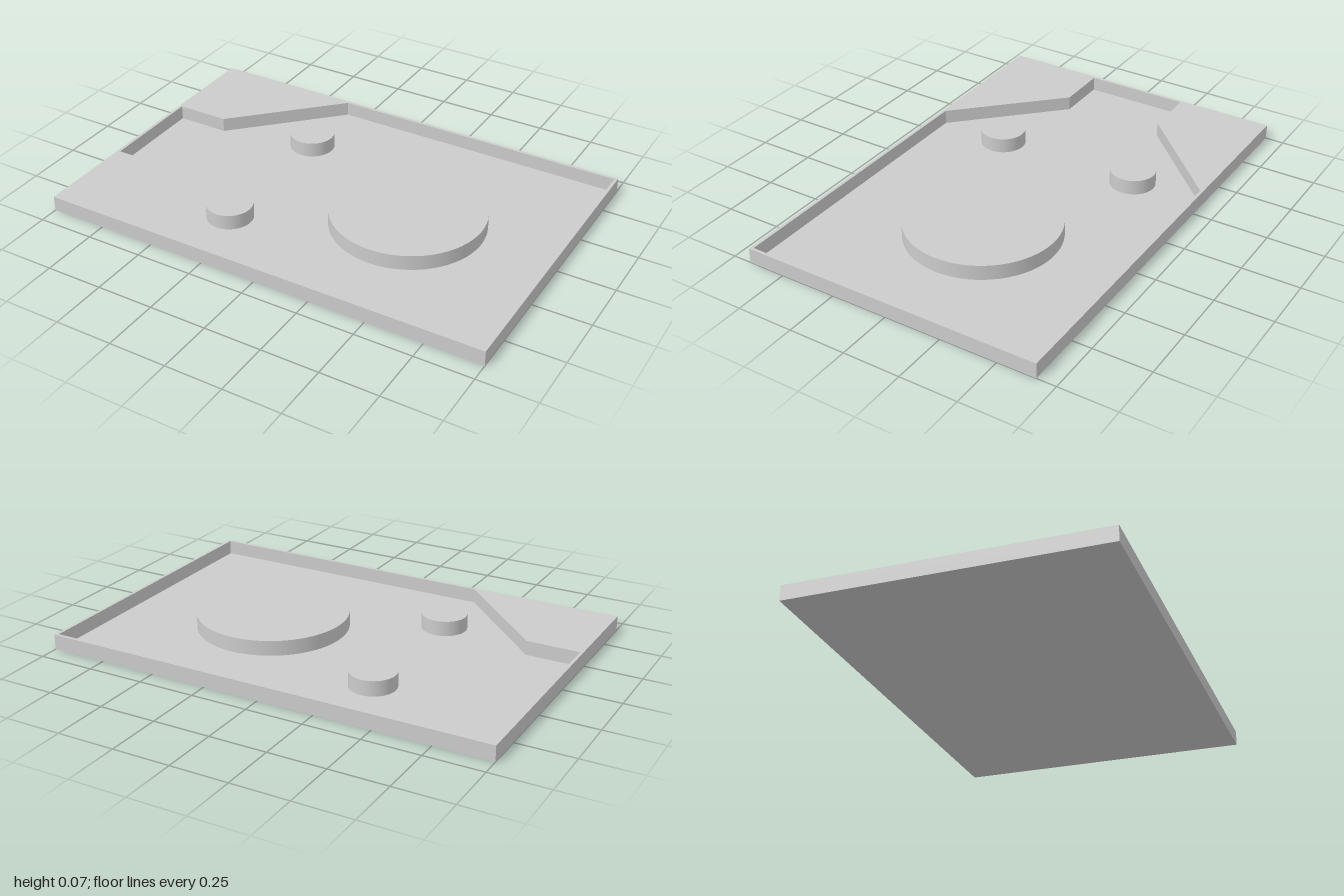
import * as THREE from 'three';

const W = 2, D = 1.3333, WALL = 0.0133, FLOOR = 0.0033, TOP = 0.0667, DISC_TOP = 0.07;

export function createModel() {
  const group = new THREE.Group();
  const material = new THREE.MeshStandardMaterial({ color: 0xcccccc });
  const add = (name, geometry, x, y, z) => {
    const mesh = new THREE.Mesh(geometry, material);
    mesh.name = name;
    mesh.position.set(x, y, z);
    group.add(mesh);
  };

  // Thin floor plate
  add('floor', new THREE.BoxGeometry(W, FLOOR, D), 0, FLOOR / 2, 0);

  // Rim with solid angled corners, cut by a funnel-shaped pocket
  const rim = new THREE.Shape([
    [-W / 2, -D / 2], [W / 2, -D / 2], [W / 2, D / 2], [-W / 2, D / 2],
  ].map(([x, y]) => new THREE.Vector2(x, y)));
  const px = W / 2 - WALL, pz = D / 2 - WALL;
  const half = [[-px, 0.233], [-0.753, 0.233], [-0.333, pz], [px, pz]];
  const pocket = [...half, ...half.map(([x, y]) => [x, -y]).reverse()];
  rim.holes.push(new THREE.Path(pocket.map(([x, y]) => new THREE.Vector2(x, y))));
  const rimGeometry = new THREE.ExtrudeGeometry(rim, { depth: TOP - FLOOR, bevelEnabled: false });
  rimGeometry.rotateX(-Math.PI / 2);
  add('rim', rimGeometry, 0, FLOOR, 0);

  // Round bosses standing just proud of the rim
  const boss = (name, radius, x, z) => {
    const h = DISC_TOP - FLOOR;
    add(name, new THREE.CylinderGeometry(radius, radius, h, 64), x, FLOOR + h / 2, z);
  };
  boss('largeDisc', 0.3333, 0.3333, 0);
  for (const side of [-1, 1]) boss(side > 0 ? 'frontPost' : 'backPost', 0.1, -0.3333, side * 0.3333);

  return group;
}
